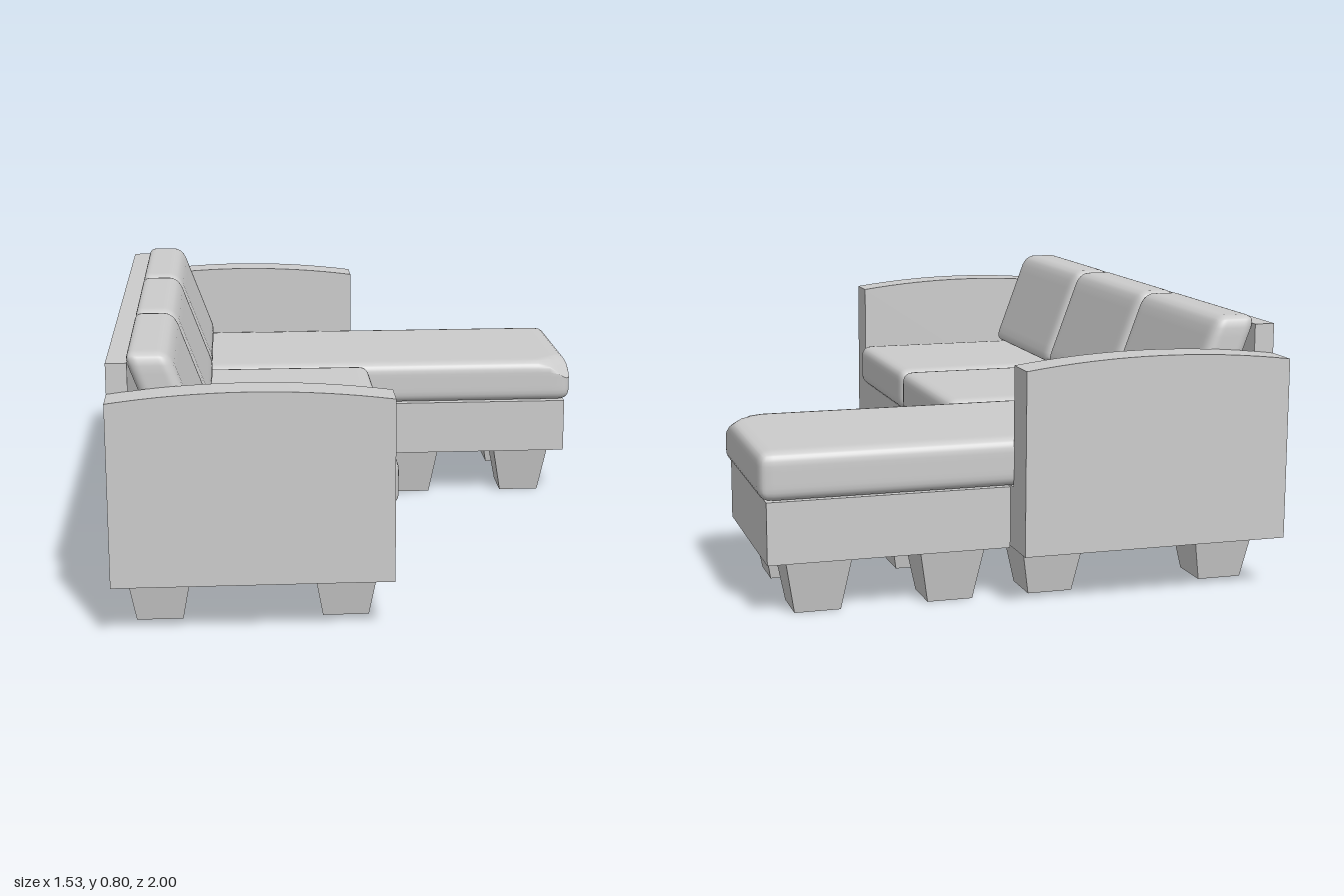
import * as THREE from 'three';
import { mergeVertices, toCreasedNormals } from 'three/addons/utils/BufferGeometryUtils.js';

const material = new THREE.MeshStandardMaterial({ color: 0xcccccc });

function add(group, name, geometry, x = 0, y = 0, z = 0) {
  const mesh = new THREE.Mesh(geometry, material);
  mesh.name = name;
  mesh.position.set(x, y, z);
  group.add(mesh);
  return mesh;
}

// Box given by its minimum and maximum corners
function block(group, name, a, b) {
  const size = a.map((v, i) => b[i] - v);
  add(group, name, new THREE.BoxGeometry(...size), ...a.map((v, i) => (v + b[i]) / 2));
}

// Soft rounded box; vertices gather near the edges, then an optional rule reshapes them
function cushion(group, name, a, b, r, reshape) {
  const min = new THREE.Vector3(...a), max = new THREE.Vector3(...b);
  const center = min.clone().add(max).multiplyScalar(0.5);
  const half = max.clone().sub(min).multiplyScalar(0.5);
  const inner = half.clone().subScalar(r);
  let geometry = new THREE.BoxGeometry(2, 2, 2, 28, 14, 24);
  geometry.deleteAttribute('uv');
  geometry.deleteAttribute('normal');
  geometry = mergeVertices(geometry);
  const pos = geometry.attributes.position;
  const p = new THREE.Vector3(), core = new THREE.Vector3();
  for (let i = 0; i < pos.count; i++) {
    p.fromBufferAttribute(pos, i);
    for (const k of ['x', 'y', 'z']) p[k] = Math.sin(p[k] * Math.PI / 2) * half[k];
    core.copy(p).clamp(inner.clone().negate(), inner);
    p.sub(core).setLength(r).add(core).add(center);
    if (reshape) reshape(p);
    pos.setXYZ(i, p.x, p.y, p.z);
  }
  geometry.computeVertexNormals();
  add(group, name, geometry);
}

// Square leg tapering to the floor
function leg(group, name, x, z) {
  const geometry = new THREE.CylinderGeometry(0.095 * Math.SQRT2, 0.067 * Math.SQRT2, 0.155, 4);
  geometry.rotateY(Math.PI / 4);
  add(group, name, toCreasedNormals(geometry, 0.5), x, 0.0775, z);
}

export function createModel() {
  const sofa = new THREE.Group();
  sofa.name = 'cornerSofa';

  // Frame
  block(sofa, 'seatBase', [-0.77, 0.155, -0.89], [0.03, 0.335, 0.89]);
  block(sofa, 'chaiseBase', [0.037, 0.155, -0.885], [0.745, 0.335, -0.305]);
  block(sofa, 'backPanel', [-0.77, 0.335, -0.89], [-0.71, 0.775, 0.89]);

  // Arms with gently arched tops
  const side = new THREE.Shape();
  side.moveTo(-0.77, 0.155);
  side.lineTo(0.03, 0.155);
  side.lineTo(0.03, 0.687);
  side.quadraticCurveTo(-0.37, 0.742, -0.77, 0.687);
  side.closePath();
  const armGeometry = toCreasedNormals(
    new THREE.ExtrudeGeometry(side, { depth: 0.11, bevelEnabled: false, curveSegments: 16 }), 0.5);
  add(sofa, 'leftArm', armGeometry, 0, 0, 0.89);
  add(sofa, 'rightArm', armGeometry, 0, 0, -1);

  // Seat cushions
  cushion(sofa, 'seatCushion1', [-0.71, 0.335, 0.293], [0.052, 0.477, 0.885], 0.035);
  cushion(sofa, 'seatCushion2', [-0.71, 0.335, -0.299], [0.052, 0.477, 0.287], 0.035);

  // Chaise cushion, pressed down along a plane at its free inner corner
  cushion(sofa, 'chaiseCushion', [-0.71, 0.335, -0.895], [0.765, 0.477, -0.303], 0.035, (p) => {
    const top = 0.477 - 0.075 * ((p.x - 0.765) / 0.11 + (p.z + 0.303) / 0.13 + 1);
    p.y = Math.min(p.y, Math.max(top, 0.345));
  });

  // Leaning back cushions
  for (let i = -1; i <= 1; i++) {
    cushion(sofa, 'backCushion' + (i + 2),
      [-0.665, 0.478, i * 0.592 - 0.295], [-0.535, 0.8, i * 0.592 + 0.295], 0.034,
      (p) => { p.x -= (p.y - 0.64) * 0.37; });
  }

  // Legs
  for (const x of [-0.64, -0.1]) for (const z of [-0.775, 0.775]) leg(sofa, 'sofaLeg', x, z);
  for (const x of [0.205, 0.595]) for (const z of [-0.775, -0.415]) leg(sofa, 'chaiseLeg', x, z);

  return sofa;
}
